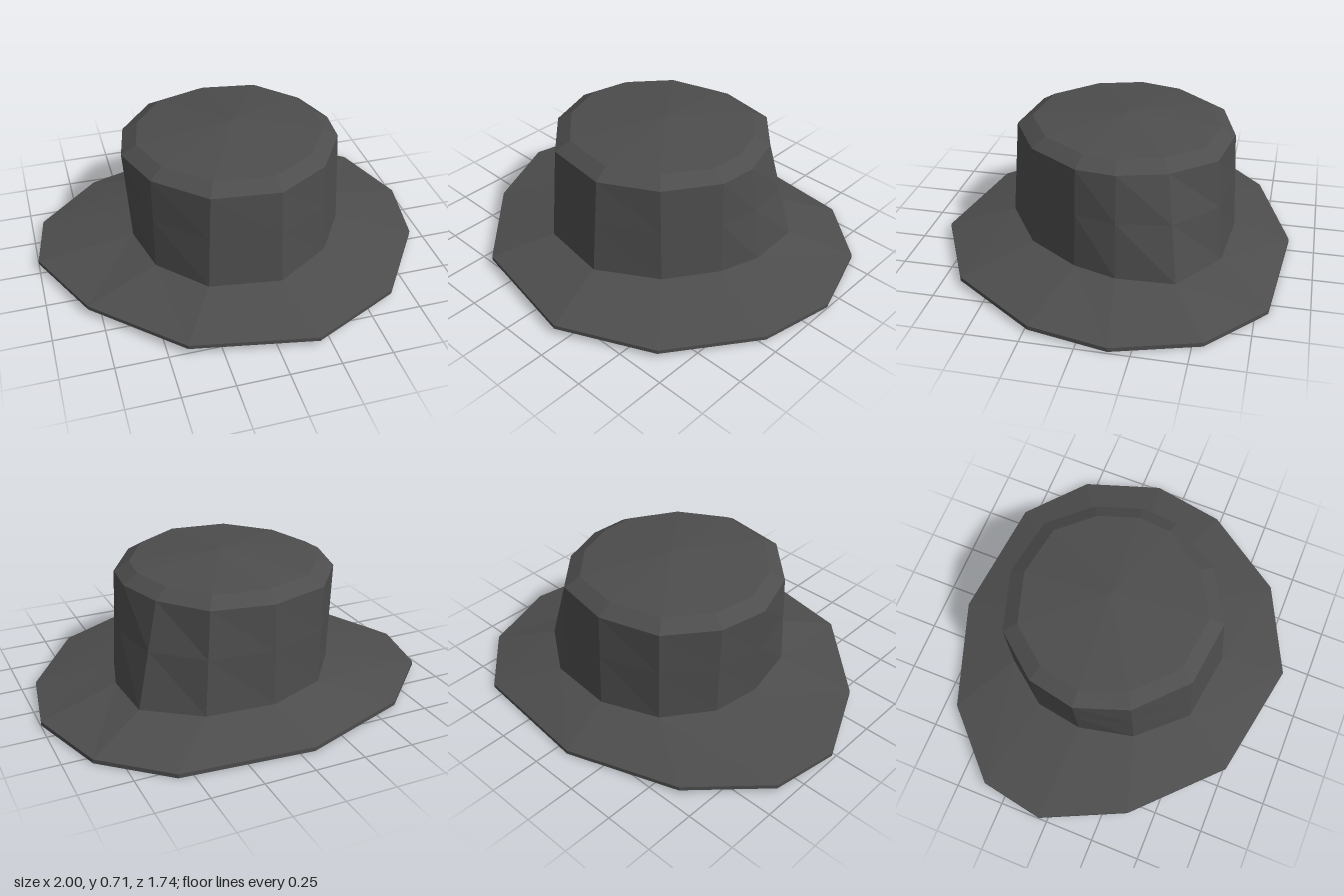
import * as THREE from 'three';

// Uneven 12-sided outlines as [x, z], clockwise seen from above, starting at the back
const BRIM = [[-0.07, -0.87], [0.57, -0.81], [0.87, -0.55], [1, -0.15], [0.93, 0.23], [0.64, 0.65],
  [0.19, 0.87], [-0.41, 0.76], [-0.81, 0.37], [-1, -0.04], [-0.94, -0.37], [-0.62, -0.68]];
const BASE = [[-0.01, -0.59], [0.33, -0.56], [0.59, -0.38], [0.61, -0.1], [0.55, 0.11], [0.39, 0.36],
  [0.11, 0.54], [-0.24, 0.49], [-0.45, 0.26], [-0.51, -0.02], [-0.47, -0.26], [-0.3, -0.48]];
const SHOULDER = [[-0.01, -0.57], [0.29, -0.52], [0.47, -0.32], [0.545, -0.09], [0.53, 0.1], [0.37, 0.35],
  [0.11, 0.5], [-0.22, 0.46], [-0.45, 0.24], [-0.54, -0.02], [-0.49, -0.26], [-0.31, -0.48]];

// Lift an outline to height y with a slight tilt, scaled about the crown's centre
function ring(outline, y, tiltX, tiltZ, scale = 1) {
  return outline.map(([x, z]) => new THREE.Vector3(
    0.01 + (x - 0.01) * scale, y + tiltX * x + tiltZ * z, -0.03 + (z + 0.03) * scale));
}
const blend = (a, b, t) => a.map((p, i) => p.clone().lerp(b[i], t));
const point = (x, y, z) => BASE.map(() => new THREE.Vector3(x, y, z));

// Skin successive rings with quads
function skin(name, rings, material) {
  const pos = [];
  const tri = (a, b, c) => {
    if (a.equals(b) || b.equals(c) || a.equals(c)) return;
    for (const p of [a, b, c]) pos.push(p.x, p.y, p.z);
  };
  for (let r = 0; r < rings.length - 1; r++) {
    const A = rings[r], B = rings[r + 1];
    for (let i = 0; i < A.length; i++) {
      const j = (i + 1) % A.length;
      tri(A[j], B[j], B[i]);
      tri(A[j], B[i], A[i]);
    }
  }
  const geometry = new THREE.BufferGeometry();
  geometry.setAttribute('position', new THREE.Float32BufferAttribute(pos, 3));
  geometry.computeVertexNormals();
  const mesh = new THREE.Mesh(geometry, material);
  mesh.name = name;
  return mesh;
}

export function createModel() {
  const felt = new THREE.MeshStandardMaterial({ color: 0x4d4d4d, flatShading: true });
  const hat = new THREE.Group();
  hat.name = 'hat';

  // Outer rings, top to bottom
  const bevel = ring(SHOULDER, 0.67, 0, 0.018, 0.86);
  const shoulder = ring(SHOULDER, 0.625, 0, 0.018);
  const base = ring(BASE, 0.13, -0.008, 0.025);
  const middle = blend(base, shoulder, 0.54);
  const brimTop = ring(BRIM, 0.04, -0.009, 0.018);
  const brimBottom = ring(BRIM, 0.02, -0.009, 0.018);

  // Inner rings, set in by the felt thickness
  const inBase = ring(BASE, 0.108, -0.008, 0.025, 0.96);
  const inShoulder = ring(SHOULDER, 0.61, 0, 0.018, 0.96);
  const inBevel = ring(SHOULDER, 0.65, 0, 0.018, 0.83);

  hat.add(skin('crown', [point(0.03, 0.715, -0.05), bevel, shoulder, middle, base], felt));
  hat.add(skin('brim', [base, brimTop, brimBottom, inBase], felt));
  hat.add(skin('crownInside',
    [inBase, blend(inBase, inShoulder, 0.54), inShoulder, inBevel, point(0.03, 0.69, -0.05)], felt));
  return hat;
}
